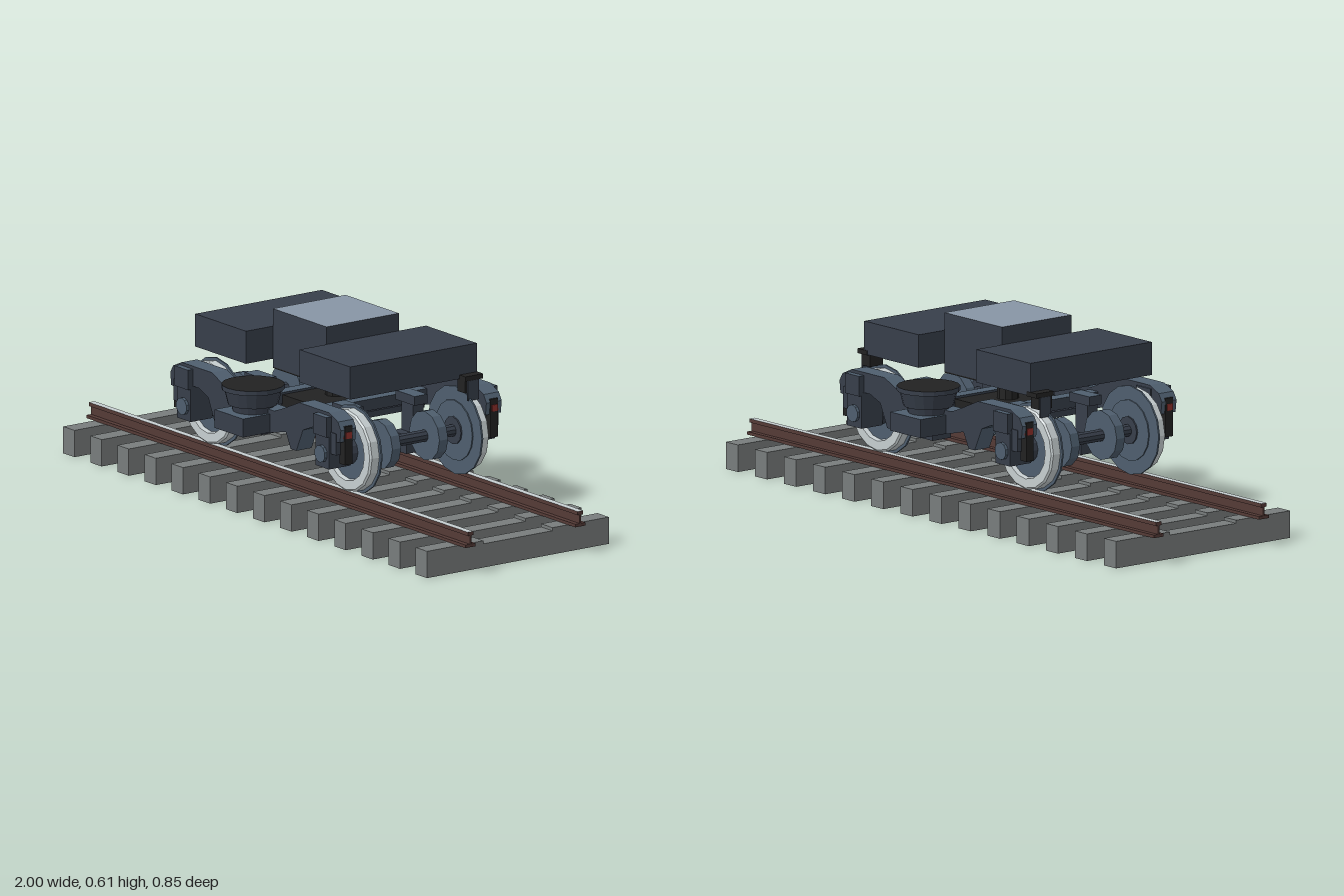
import * as THREE from 'three';

const mat = (name, color) => new THREE.MeshStandardMaterial({ name, color, flatShading: true });

export function createModel() {
  const slate = mat('dark slate', 0x373e4a);
  const mid = mat('mid slate', 0x4e5e6e);
  const panel = mat('pale blue grey', 0x8795a5);
  const black = mat('black', 0x222222);
  const steel = mat('bright steel', 0xc6ced0);
  const rust = mat('rust brown', 0x543a36);
  const concrete = mat('concrete grey', 0x787c7c);
  const red = mat('red', 0x8e302c);

  const root = new THREE.Group();
  root.name = 'railBogieOnTrack';

  const add = (parent, name, geo, m) => {
    const mesh = new THREE.Mesh(geo, m);
    mesh.name = name;
    parent.add(mesh);
    return mesh;
  };
  // Box from min/max extents, with an optional different material on top
  const box = (parent, name, x0, x1, y0, y1, z0, z1, m, top) => {
    const g = new THREE.BoxGeometry(x1 - x0, y1 - y0, z1 - z0);
    g.translate((x0 + x1) / 2, (y0 + y1) / 2, (z0 + z1) / 2);
    return add(parent, name, g, top ? [m, m, top, m, m, m] : m);
  };
  // Cylinder lying along z
  const rod = (parent, name, r, x, y, z0, z1, m, sides = 14) => {
    const g = new THREE.CylinderGeometry(r, r, z1 - z0, sides);
    g.rotateX(Math.PI / 2).translate(x, y, (z0 + z1) / 2);
    return add(parent, name, g, m);
  };
  // Upright cylinder or cone section
  const drum = (parent, name, rTop, rBottom, y0, y1, z, m, top = m, sides = 18) => {
    const g = new THREE.CylinderGeometry(rTop, rBottom, y1 - y0, sides);
    g.translate(0, (y0 + y1) / 2, z);
    return add(parent, name, g, [m, top, m]);
  };

  // Sleepers with a lowered middle
  const track = new THREE.Group();
  track.name = 'track';
  root.add(track);
  for (let i = 0; i < 14; i++) {
    const x = -0.93 + (i * 1.86) / 13;
    box(track, 'sleeperMiddle', x - 0.03, x + 0.03, 0, 0.077, -0.135, 0.135, concrete);
    for (const s of [-1, 1]) {
      const z = s * 0.2455;
      box(track, 'sleeperEnd', x - 0.03, x + 0.03, 0, 0.087, z - 0.1105, z + 0.1105, concrete);
    }
  }

  // Rails: foot, web and head with a polished top
  for (const z of [-0.215, 0.215]) {
    box(track, 'railFoot', -1, 1, 0.087, 0.097, z - 0.02, z + 0.02, rust);
    box(track, 'railWeb', -1, 1, 0.097, 0.125, z - 0.003, z + 0.003, rust);
    box(track, 'railHead', -1, 1, 0.125, 0.137, z - 0.011, z + 0.011, rust, steel);
  }

  // Body: two end boxes around a taller narrow centre box
  for (const s of [-1, 1]) {
    const x = s * 0.275;
    box(root, 'endBox', x - 0.134, x + 0.134, 0.447, 0.553, -0.248, 0.248, slate);
  }
  box(root, 'centreBox', -0.141, 0.141, 0.421, 0.61, -0.142, 0.142, slate, panel);
  box(root, 'centreBase', -0.143, 0.143, 0.416, 0.447, -0.14, 0.14, black);

  // Pivot and cross members
  drum(root, 'pivotPin', 0.017, 0.017, 0.38, 0.418, 0, black, black, 10);
  drum(root, 'pivotSocket', 0.035, 0.035, 0.335, 0.385, 0, black, black, 10);
  box(root, 'bolster', -0.1, 0.1, 0.29, 0.34, -0.14, 0.14, black);
  for (const s of [-1, 1]) {
    const x = s * 0.115;
    box(root, 'transom', x - 0.022, x + 0.022, 0.31, 0.347, -0.27, 0.27, slate, mid);
    box(root, 'lowerTransom', x - 0.016, x + 0.016, 0.285, 0.305, -0.25, 0.25, slate);
    rod(root, 'axle', 0.02, s * 0.365, 0.27, -0.26, 0.26, slate, 10);
  }

  // Side frame outline, right half, mirrored for the left
  const half = [
    [0, 0.355], [0.1, 0.355], [0.15, 0.375], [0.23, 0.41], [0.39, 0.41], [0.435, 0.39],
    [0.45, 0.365], [0.445, 0.325], [0.41, 0.32], [0.39, 0.345], [0.3, 0.345],
    [0.25, 0.325], [0.215, 0.25], [0.185, 0.25], [0.16, 0.3], [0.08, 0.28], [0, 0.28],
  ];
  const outline = [...half, ...half.slice(1, -1).reverse().map(([x, y]) => [-x, y])];
  const frameShape = new THREE.Shape(outline.map(([x, y]) => new THREE.Vector2(x, y)));

  // Wheel rim cross-section, radius against offset along the axle
  const rim = [[0.133, 0.198], [0.133, 0.228], [0.127, 0.233], [0.098, 0.233], [0.094, 0.214]]
    .map(([r, z]) => new THREE.Vector2(r, z));

  // Everything on one side; the other side is turned half round
  for (const turn of [0, Math.PI]) {
    const side = new THREE.Group();
    side.name = turn ? 'backSide' : 'frontSide';
    side.rotation.y = turn;
    root.add(side);

    const frame = new THREE.ExtrudeGeometry(frameShape, { depth: 0.06, bevelEnabled: false });
    frame.translate(0, 0, 0.255);
    add(side, 'sideFrame', frame, [slate, mid]);

    // Secondary spring on its seat
    box(side, 'springSeat', -0.075, 0.075, 0.28, 0.34, 0.25, 0.42, slate, mid);
    drum(side, 'springCore', 0.07, 0.065, 0.34, 0.365, 0.325, slate);
    drum(side, 'springBowl', 0.092, 0.08, 0.362, 0.411, 0.325, slate);
    drum(side, 'springCap', 0.1, 0.1, 0.41, 0.425, 0.325, slate, black);

    for (const s of [-1, 1]) {
      const x = s * 0.365;

      // Wheel
      const rimGeo = new THREE.LatheGeometry(rim, 16);
      rimGeo.rotateX(Math.PI / 2).translate(x, 0.27, 0);
      add(side, 'wheelRim', rimGeo, steel);
      rod(side, 'wheelFlange', 0.143, x, 0.27, 0.194, 0.2, mid, 16);
      rod(side, 'wheelDisc', 0.098, x, 0.27, 0.19, 0.218, mid, 16);
      rod(side, 'wheelHub', 0.045, x, 0.27, 0.185, 0.24, slate, 12);

      // Brake disc and caliper
      rod(side, 'brakeDisc', 0.08, x, 0.27, 0.075, 0.109, mid, 12);
      const c = s * 0.23;
      box(side, 'brakeCaliper', c - 0.05, c + 0.05, 0.345, 0.375, 0.1, 0.15, slate, mid);
      box(side, 'brakeCaliper', c - 0.04, c + 0.04, 0.19, 0.25, 0.075, 0.15, slate);
      box(side, 'caliperHanger', c - 0.03, c + 0.03, 0.25, 0.345, 0.109, 0.15, slate);

      // Axle box with round cover
      box(side, 'axleBox', x - 0.036, x + 0.036, 0.23, 0.345, 0.24, 0.325, slate, mid);
      rod(side, 'axleCover', 0.028, x, 0.275, 0.325, 0.335, mid, 10);
      box(side, 'frameLug', x - 0.035, x + 0.035, 0.335, 0.4, 0.25, 0.335, slate, mid);

      // Damper with red band at the frame end
      const d = s * 0.437;
      box(side, 'damper', d - 0.014, d + 0.014, 0.25, 0.375, 0.27, 0.3, black);
      box(side, 'damperBand', d - 0.017, d + 0.017, 0.335, 0.356, 0.275, 0.298, red);
      box(side, 'damperBand', d - 0.01, d + 0.01, 0.335, 0.356, 0.298, 0.304, red);
      const h = s * 0.41;
      box(side, 'damperHousing', h - 0.018, h + 0.018, 0.28, 0.35, 0.255, 0.318, slate);
    }
  }

  // Brackets over the back wheels
  for (const s of [-1, 1]) {
    const x = s * 0.416;
    box(root, 'bracketCap', x - 0.024, x + 0.024, 0.445, 0.46, -0.25, -0.18, black);
    box(root, 'bracketBlock', x - 0.02, x + 0.02, 0.405, 0.445, -0.235, -0.182, black);
    const px = s * 0.438;
    box(root, 'bracketPlate', px - 0.003, px + 0.003, 0.38, 0.445, -0.233, -0.19, slate);
  }

  return root;
}
